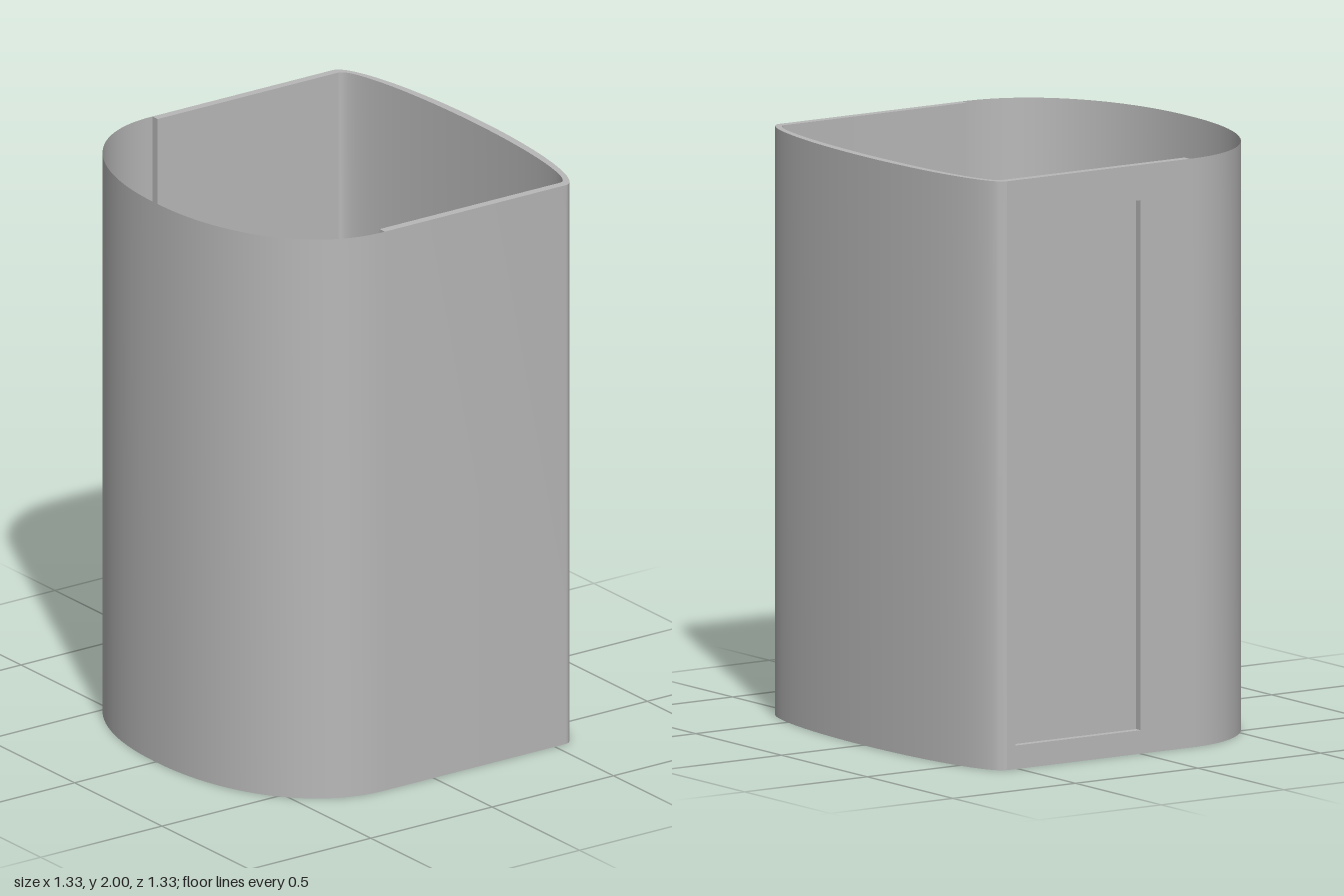
import * as THREE from 'three';
import { toCreasedNormals } from 'three/addons/utils/BufferGeometryUtils.js';

const H = 2, OUT = 0.665, IN = 0.635;      // height, outer and inner half width
const Z_BACK = -0.545, Z_SEAM = 0.2;       // where the straight side walls start and end

// Plan-view arc of the rear wall, from +x to -x (shape y is -z)
function rearArc(halfWidth, depth, steps = 48) {
  return Array.from({ length: steps + 1 }, (_, i) => {
    const a = (i / steps) * Math.PI;
    return new THREE.Vector2(halfWidth * Math.cos(a), -Z_BACK + depth * Math.sin(a));
  });
}

export function createModel() {
  const group = new THREE.Group();
  const grey = new THREE.MeshStandardMaterial({ color: 0xb8b8b8 });
  grey.name = 'wall grey';
  grey.side = THREE.DoubleSide;

  const add = (name, geometry) => {
    const mesh = new THREE.Mesh(geometry, grey);
    mesh.name = name;
    group.add(mesh);
    return mesh;
  };

  // Curved rear wall together with the plain side wall
  const plan = new THREE.Shape([
    new THREE.Vector2(IN, -Z_SEAM),
    new THREE.Vector2(OUT, -Z_SEAM),
    ...rearArc(OUT, 0.122),
    ...rearArc(IN, 0.093).reverse(),
  ]);
  const rear = new THREE.ExtrudeGeometry(plan, { depth: H, bevelEnabled: false });
  rear.rotateX(-Math.PI / 2);
  add('rearAndSideWall', toCreasedNormals(rear, 0.6));

  // Side wall with a tall rectangular doorway
  const side = new THREE.Shape();
  side.moveTo(Z_BACK, 0).lineTo(Z_SEAM, 0).lineTo(Z_SEAM, H).lineTo(Z_BACK, H).closePath();
  const door = new THREE.Path();
  door.moveTo(-0.51, 0.08).lineTo(-0.51, 1.88).lineTo(0, 1.88).lineTo(0, 0.08).closePath();
  side.holes.push(door);
  const frame = new THREE.ExtrudeGeometry(side, { depth: OUT - IN, bevelEnabled: false });
  frame.rotateY(-Math.PI / 2);
  add('doorwayWall', frame).position.x = -IN;

  // Thin panel closing the doorway on the inside
  add('doorPanel', new THREE.BoxGeometry(0.004, 1.8, 0.51)).position.set(-IN - 0.002, 0.98, -0.255);

  // Thin bowed front sheet, swept up from a rounded plan curve
  const STEPS = 64, positions = [], uvs = [], index = [];
  for (let i = 0; i <= STEPS; i++) {
    const a = (i / STEPS) * Math.PI, c = Math.cos(a), s = Math.abs(Math.sin(a));
    const x = -OUT * Math.sign(c) * Math.abs(c) ** (2 / 2.15);
    const z = Z_SEAM + 0.466 * (i % STEPS ? s ** (2 / 2.15) : 0);
    positions.push(x, 0, z, x, H, z);
    uvs.push(i / STEPS, 0, i / STEPS, 1);
    if (i < STEPS) {
      const k = i * 2;
      index.push(k, k + 2, k + 1, k + 1, k + 2, k + 3);
    }
  }
  const sheet = new THREE.BufferGeometry();
  sheet.setAttribute('position', new THREE.Float32BufferAttribute(positions, 3));
  sheet.setAttribute('uv', new THREE.Float32BufferAttribute(uvs, 2));
  sheet.setIndex(index);
  sheet.computeVertexNormals();
  add('frontSheet', sheet);

  return group;
}
